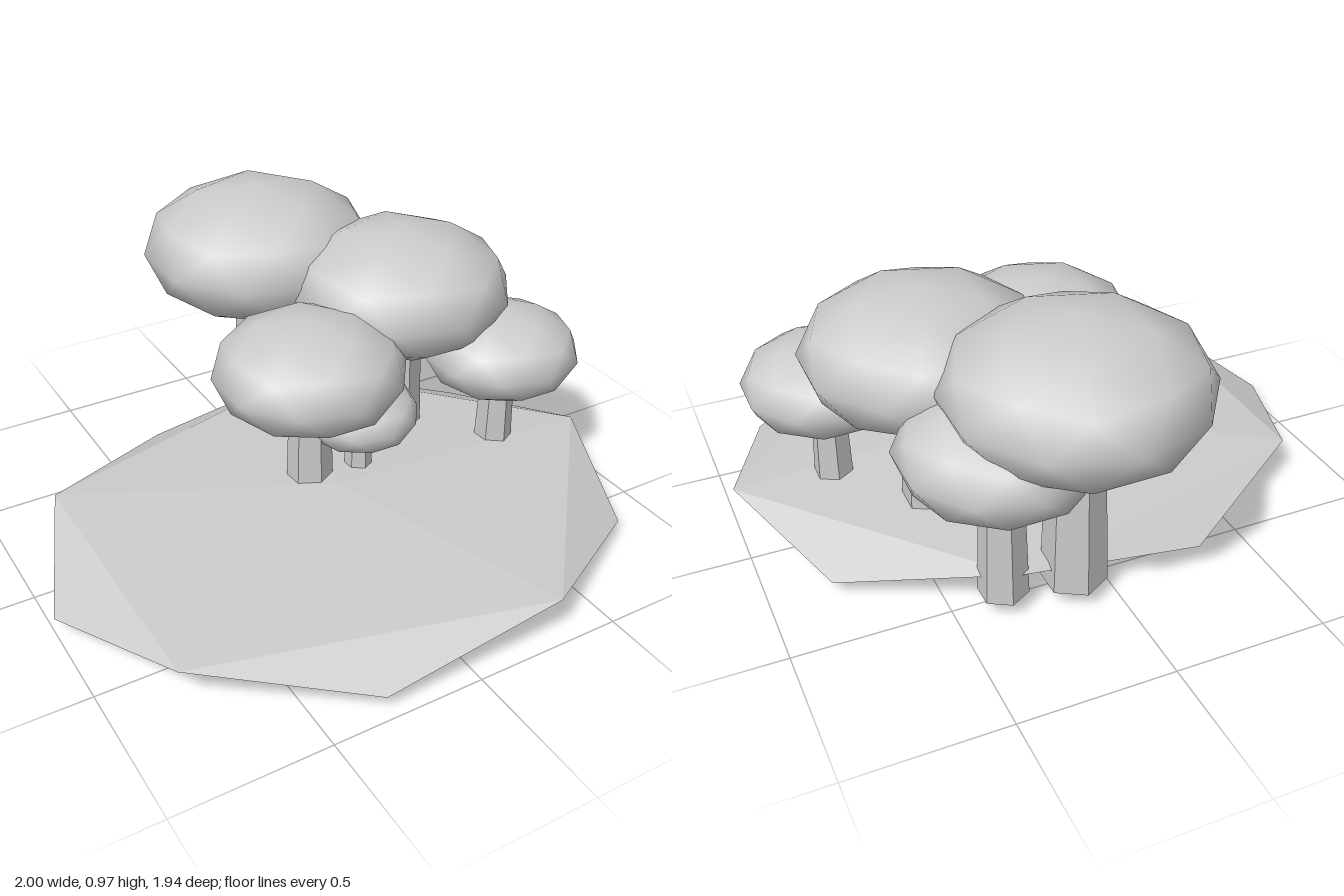
import * as THREE from 'three';

const material = new THREE.MeshStandardMaterial({ color: 0xcccccc });

// Icosphere turned so that its poles lie on the y axis
function icosphere(rx, ry, rz, detail) {
  const g = new THREE.IcosahedronGeometry(1, detail);
  g.rotateZ(Math.atan(2 / (1 + Math.sqrt(5))));
  g.rotateY(Math.PI);
  g.scale(rx, ry, rz);
  return g;
}

function addMesh(parent, name, geometry, x, y, z) {
  const mesh = new THREE.Mesh(geometry, material);
  mesh.name = name;
  mesh.position.set(x, y, z);
  parent.add(mesh);
}

// All tree proportions follow from the crown radius r
function makeTree(x, z, r) {
  const tree = new THREE.Group();
  tree.name = 'tree';
  tree.position.set(x, 0.06, z);
  const height = 1.66 * r;

  // Tapered six-sided trunk reaching into the crown
  const trunk = new THREE.CylinderGeometry(0.2 * r, 0.255 * r, height, 6).toNonIndexed();
  trunk.computeVertexNormals();
  addMesh(tree, 'trunk', trunk, 0, height / 2, 0);

  // Flattened, smoothly shaded crown
  addMesh(tree, 'crown', icosphere(r, 0.57 * r, r, 1), 0, height, 0);
  return tree;
}

export function createModel() {
  const model = new THREE.Group();
  model.name = 'treeIsland';

  // Flat, faceted island
  const ringRadius = 2 / Math.sqrt(5);
  addMesh(model, 'island', icosphere(1 / ringRadius, 0.1, 0.82 / 0.951 / ringRadius * 0.951 / 0.951 * 0.951, 0), 0, 0.1, 0.19);

  // Trees: x, z, crown radius
  const trees = [
    [0.12, -0.56, 0.41],
    [0.42, -0.11, 0.385],
    [-0.04, 0.075, 0.32],
    [0.67, 0.15, 0.27],
    [0.135, 0.1, 0.2],
    [0.345, -0.535, 0.315],
  ];
  for (const [x, z, r] of trees) model.add(makeTree(x, z, r));
  return model;
}
